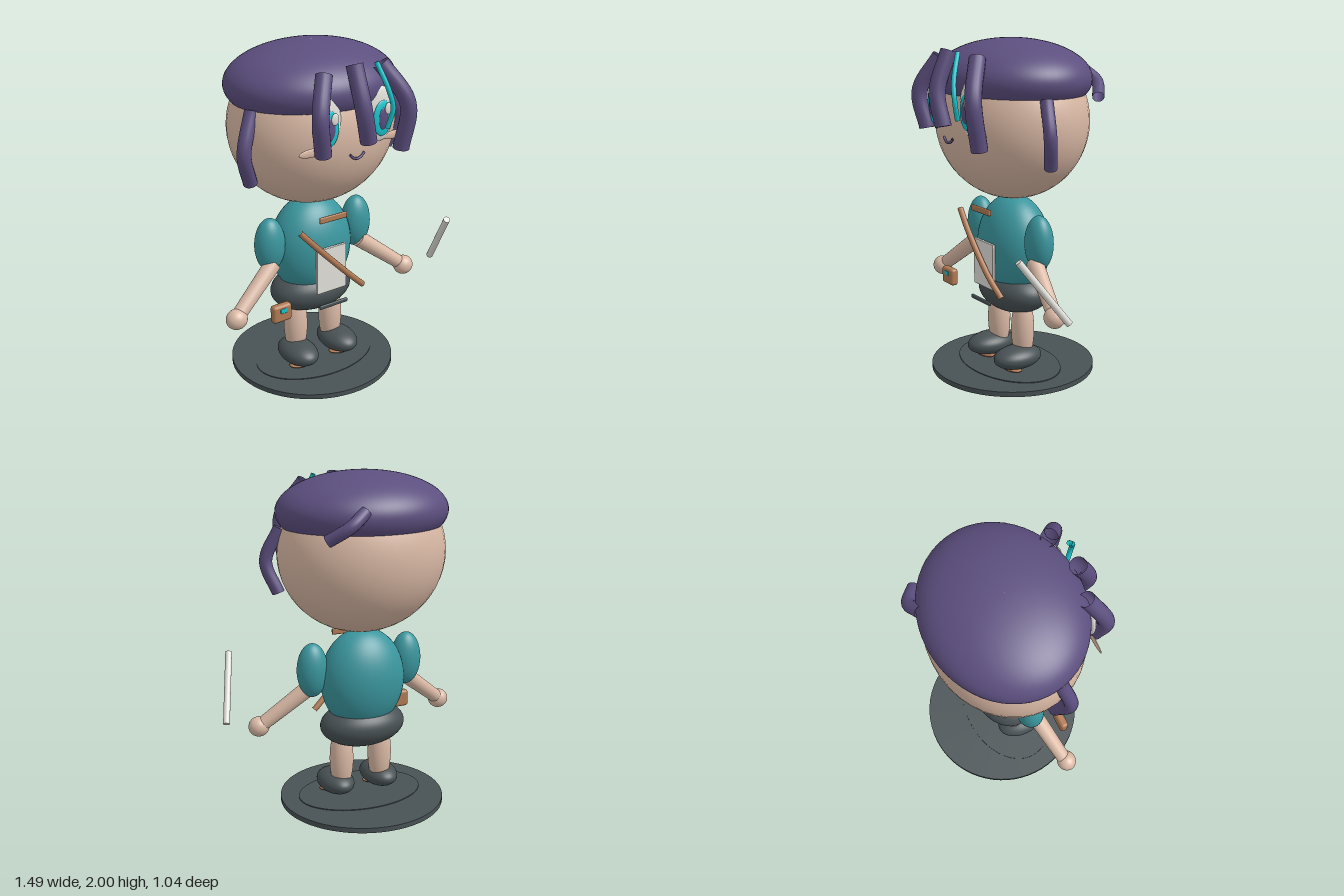
import * as THREE from 'three';
import { RoundedBoxGeometry } from 'three/addons/geometries/RoundedBoxGeometry.js';

const CX = -0.073; // the figure's own middle line

function material(name, color, side = THREE.FrontSide) {
  const m = new THREE.MeshStandardMaterial({ color, side });
  m.name = name;
  return m;
}

export function createModel() {
  const model = new THREE.Group();
  model.name = 'figure';
  const skin = material('skin', 0xdab9a5);
  const hair = material('hair purple', 0x5c4f7f, THREE.DoubleSide);
  const teal = material('shirt teal', 0x3a969e);
  const dark = material('charcoal', 0x485154);
  const brown = material('leather brown', 0xb07a54);
  const white = material('off white', 0xe2e0da);
  const cyan = material('bright cyan', 0x18c6d0, THREE.DoubleSide);

  const add = (name, geometry, mat, x = 0, y = 0, z = 0) => {
    const mesh = new THREE.Mesh(geometry, mat);
    mesh.name = name;
    mesh.position.set(x, y, z);
    model.add(mesh);
    return mesh;
  };
  const ball = (name, mat, p, r) => {
    const mesh = add(name, new THREE.SphereGeometry(1, 40, 28), mat, ...p);
    mesh.scale.set(...r);
    return mesh;
  };
  const box = (name, mat, p, s, r = 0.006) =>
    add(name, new RoundedBoxGeometry(...s, 3, r), mat, ...p);
  const tube = (name, mat, r, points) => {
    const curve = new THREE.CatmullRomCurve3(points.map((p) => new THREE.Vector3(...p)));
    return add(name, new THREE.TubeGeometry(curve, 28, r, 16), mat);
  };
  const rod = (name, mat, a, b, ra, rb = ra) => {
    const from = new THREE.Vector3(...a), to = new THREE.Vector3(...b);
    const dir = to.clone().sub(from);
    const mesh = add(name, new THREE.CylinderGeometry(rb, ra, dir.length(), 20), mat);
    mesh.position.copy(from).addScaledVector(dir, 0.5);
    mesh.quaternion.setFromUnitVectors(new THREE.Vector3(0, 1, 0), dir.normalize());
    return mesh;
  };

  // Stand
  add('standBase', new THREE.CylinderGeometry(0.497, 0.497, 0.03, 64), dark, CX, 0.015, -0.027);
  const inset = add('standInset', new THREE.CylinderGeometry(1, 1, 0.006, 64), dark, CX, 0.032, 0);
  inset.scale.set(0.39, 1, 0.27);

  // Body
  ball('torso', teal, [CX, 0.77, -0.035], [0.26, 0.31, 0.2]);
  ball('shorts', dark, [CX, 0.49, -0.035], [0.266, 0.135, 0.187]);

  // Limbs
  for (const s of [-1, 1]) {
    const side = s < 0 ? 'right' : 'left';
    ball(side + 'Leg', skin, [CX + s * 0.128, 0.27, -0.013], [0.073, 0.22, 0.068]);
    ball(side + 'Shoe', dark, [CX + s * 0.147, 0.11, 0.037], [0.106, 0.07, 0.158]);
    ball(side + 'Sole', brown, [CX + s * 0.147, 0.05, 0.08], [0.085, 0.015, 0.05]);
    ball(side + 'Sleeve', teal, [CX + s * 0.309, 0.85, 0], [0.093, 0.163, 0.08]);
    rod(side + 'Forearm', skin, [CX + s * 0.31, 0.74, 0.03], [CX + s * 0.59, 0.525, 0.1], 0.05, 0.042);
    ball(side + 'Hand', skin, [CX + s * 0.608, 0.51, 0.11], [0.063, 0.06, 0.058]);
  }

  // Head and hair cap
  ball('head', skin, [CX, 1.533, -0.02], [0.5, 0.467, 0.429]);
  const cap = add('hairCap', new THREE.SphereGeometry(1, 56, 32, 0, Math.PI * 2, 0, Math.PI * 0.624),
    hair, CX, 1.775, -0.026);
  cap.scale.set(0.508, 0.225, 0.435);

  // Face
  for (const s of [-1, 1]) {
    const side = s < 0 ? 'right' : 'left';
    const x = CX + s * 0.178;
    ball(side + 'EyeWhite', white, [x, 1.64, 0.375], [0.092, 0.155, 0.028]);
    ball(side + 'Iris', cyan, [x, 1.62, 0.398], [0.063, 0.1, 0.014]);
    ball(side + 'Pupil', hair, [x, 1.62, 0.408], [0.033, 0.062, 0.01]);
    ball(side + 'EyeGlint', white, [x + 0.026, 1.675, 0.415], [0.024, 0.033, 0.008]);
    ball(side + 'Cheek', skin, [CX + s * 0.275, 1.507, 0.382], [0.085, 0.024, 0.008]);
  }
  tube('mouth', hair, 0.007, [
    [CX - 0.048, 1.457, 0.408], [CX - 0.028, 1.438, 0.41], [CX, 1.43, 0.412],
    [CX + 0.028, 1.438, 0.41], [CX + 0.048, 1.457, 0.408],
  ]);

  // Hair locks
  const locks = [
    ['rightFringe', 0.046, [-0.25, 1.9, 0.35], [-0.335, 1.7, 0.44], [-0.3, 1.49, 0.415]],
    ['middleFringe', 0.047, [-0.085, 1.94, 0.39], [-0.082, 1.72, 0.47], [-0.037, 1.53, 0.46]],
    ['leftFringe', 0.047, [0.13, 1.91, 0.34], [0.245, 1.69, 0.44], [0.24, 1.425, 0.4]],
    ['rightSideLock', 0.04, [-0.52, 1.69, 0.07], [-0.598, 1.47, 0.11], [-0.535, 1.28, 0.06]],
    ['leftSideLock', 0.037, [0.395, 1.69, 0.07], [0.472, 1.5, 0.1], [0.415, 1.32, 0.055]],
    ['backLock', 0.035, [0.09, 1.82, -0.41], [0.19, 1.75, -0.44], [0.295, 1.67, -0.37]],
  ];
  for (const [name, r, ...points] of locks) tube(name, hair, r, points);
  tube('cyanStreak', cyan, 0.014, [
    [0.045, 1.94, 0.41], [0.09, 1.79, 0.465], [0.113, 1.69, 0.475], [0.098, 1.58, 0.45],
  ]);

  // Chest details
  box('collarBar', brown, [CX, 1.01, 0.195], [0.19, 0.036, 0.018]);
  box('apronPanel', white, [CX, 0.68, 0.175], [0.207, 0.28, 0.018], 0.003);
  box('hemBar', dark, [CX, 0.459, 0.2], [0.2, 0.024, 0.016]);
  tube('shoulderStrap', brown, 0.018, [
    [-0.307, 0.975, 0.195], [-0.19, 0.85, 0.208], [0.02, 0.64, 0.212], [0.143, 0.525, 0.197],
  ]);

  // Pouch and baton
  box('pouch', brown, [-0.44, 0.516, 0.197], [0.124, 0.106, 0.05], 0.018);
  box('pouchClasp', cyan, [-0.438, 0.536, 0.222], [0.042, 0.028, 0.009], 0.003);
  rod('baton', white, [0.613, 0.9, 0.405], [0.722, 0.54, 0.15], 0.02);

  return model;
}
